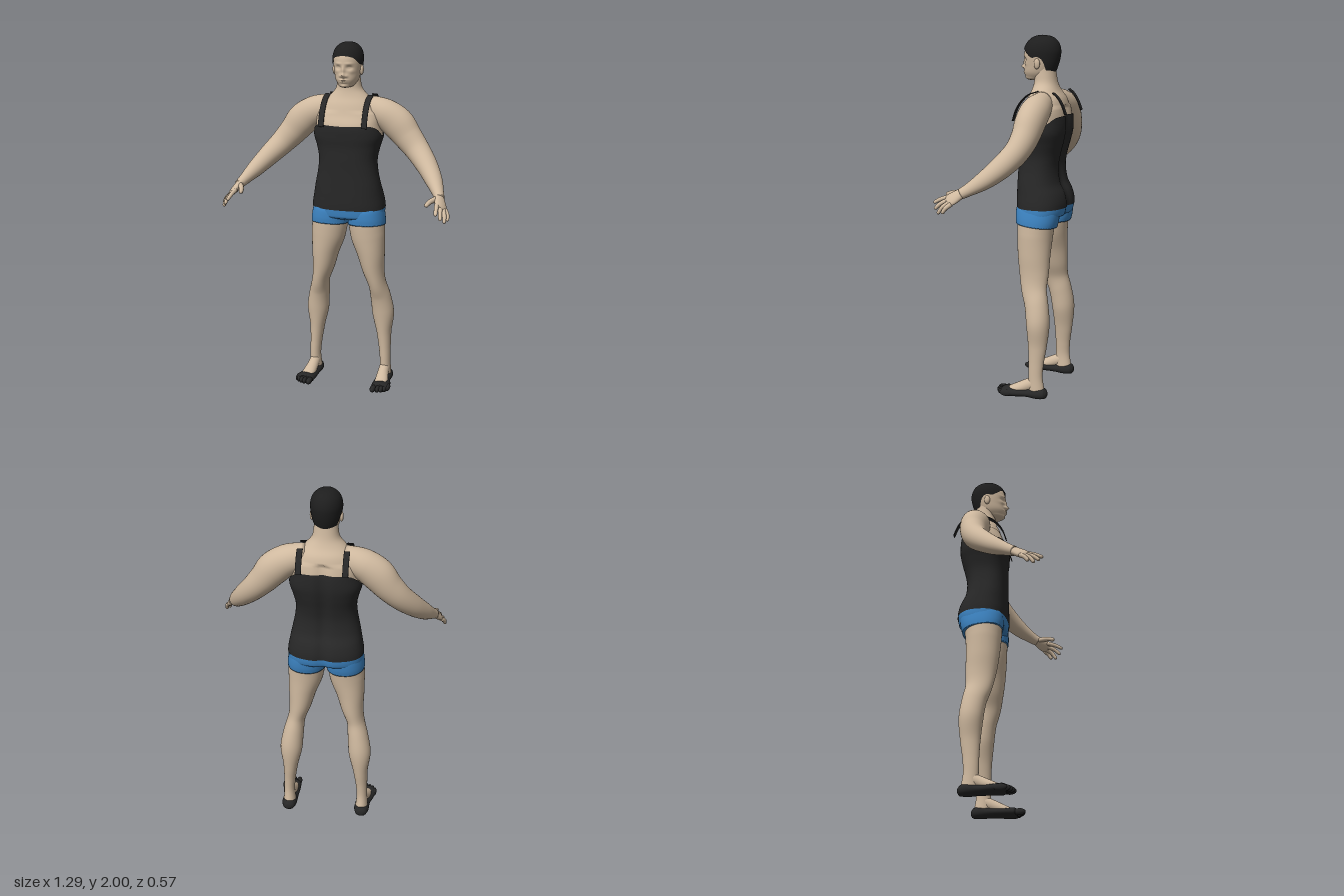
import * as THREE from 'three';

const V = (x, y, z) => new THREE.Vector3(x, y, z);
const material = (name, color) => {
  const m = new THREE.MeshStandardMaterial({ color, side: THREE.DoubleSide });
  m.name = name;
  return m;
};

// smooth interpolation of rows [key, value, value...] sorted by key
function track(rows) {
  const slope = (i, c) => {
    const a = rows[Math.max(i - 1, 0)], b = rows[Math.min(i + 1, rows.length - 1)];
    return (b[c] - a[c]) / (b[0] - a[0]);
  };
  return (k) => {
    let i = 0;
    while (i < rows.length - 2 && k > rows[i + 1][0]) i++;
    const a = rows[i], b = rows[i + 1], h = b[0] - a[0];
    const t = THREE.MathUtils.clamp((k - a[0]) / h, 0, 1), t2 = t * t, t3 = t2 * t;
    return a.slice(1).map((p, j) => (2 * t3 - 3 * t2 + 1) * p + (t3 - 2 * t2 + t) * h * slope(i, j + 1)
      + (3 * t2 - 2 * t3) * b[j + 1] + (t3 - t2) * h * slope(i + 1, j + 1));
  };
}

// skin a grid of points that is closed around u
function surface(fn, nu, nv) {
  const pos = [], idx = [];
  for (let j = 0; j <= nv; j++) for (let i = 0; i < nu; i++) pos.push(...fn(i / nu * Math.PI * 2, j / nv, j).toArray());
  for (let j = 0; j < nv; j++) for (let i = 0; i < nu; i++) {
    const k = (i + 1) % nu, a = j * nu + i, b = j * nu + k, c = b + nu, d = a + nu;
    idx.push(a, b, d, b, c, d);
  }
  const g = new THREE.BufferGeometry();
  g.setAttribute('position', new THREE.Float32BufferAttribute(pos, 3));
  g.setIndex(idx);
  g.computeVertexNormals();
  return g;
}

const pow = (c, p) => Math.sign(c) * Math.abs(c) ** (2 / p);

// tube through rings [x, y, z, radius along ref, radius across], with closed ends
function loft(rings, ref, { n = 32, steps = 6, p = 2, floor = -1 } = {}) {
  const path = new THREE.CatmullRomCurve3(rings.map((r) => V(r[0], r[1], r[2])));
  const size = new THREE.CatmullRomCurve3(rings.map((r) => V(r[3], r[4], 0)));
  const rows = (rings.length - 1) * steps;
  return surface((a, v, j) => {
    const t = THREE.MathUtils.clamp((j - 1) / rows, 0, 1), end = j === 0 || j === rows + 2 ? 0 : 1;
    const tan = path.getTangent(t), s = size.getPoint(t);
    const e1 = ref.clone().addScaledVector(tan, -ref.dot(tan)).normalize();
    const e2 = tan.clone().cross(e1);
    const q = path.getPoint(t).addScaledVector(e1, pow(Math.cos(a), p) * s.x * end)
      .addScaledVector(e2, pow(Math.sin(a), p) * s.y * end);
    q.y = Math.max(q.y, floor);
    return q;
  }, n, rows + 2);
}

function ball(x, y, z, rx, ry, rz) {
  return new THREE.SphereGeometry(1, 24, 16).scale(rx, ry, rz).translate(x, y, z);
}

function mirrored(geo) {
  const g = geo.clone().scale(-1, 1, 1), ix = g.index.array;
  for (let i = 0; i < ix.length; i += 3) [ix[i], ix[i + 1]] = [ix[i + 1], ix[i]];
  return g;
}

// trunk: height, half width, front z, back z
const trunkRows = track([
  [0.98, 0.19, -0.01, -0.22], [1.02, 0.203, 0.005, -0.25], [1.08, 0.203, 0.012, -0.26], [1.14, 0.193, 0.012, -0.248],
  [1.2, 0.181, 0.01, -0.22], [1.28, 0.165, 0.008, -0.21], [1.35, 0.16, 0.008, -0.22], [1.42, 0.174, 0.008, -0.238],
  [1.48, 0.191, 0.014, -0.25], [1.545, 0.184, 0.014, -0.252], [1.6, 0.18, -0.01, -0.244], [1.66, 0.148, -0.03, -0.228],
  [1.7, 0.11, -0.048, -0.203], [1.74, 0.076, -0.058, -0.187], [1.79, 0.065, -0.06, -0.178], [1.85, 0.06, -0.07, -0.172]]);
function trunk(y, a, grow = 0) {
  const [rx, zf, zb] = trunkRows(y), p = y > 1.62 ? 2.1 : 2.5;
  const x = pow(Math.sin(a), p) * (rx + grow), c = Math.cos(a);
  let z = (zf + zb) / 2 + pow(c, p) * ((zf - zb) / 2 + grow);
  if (c < 0 && y < 1.62) z += 0.016 * Math.exp(-((x / 0.03) ** 2)); // spine groove
  return V(x, y, z);
}

// head: height, half width, front z, back z
const headRows = track([
  [1.752, 0.001, -0.04, -0.08], [1.758, 0.032, -0.014, -0.11], [1.775, 0.05, -0.005, -0.15], [1.8, 0.064, 0.001, -0.168],
  [1.84, 0.073, -0.001, -0.184], [1.88, 0.078, 0.002, -0.194], [1.92, 0.079, -0.002, -0.197], [1.955, 0.069, -0.02, -0.186],
  [1.978, 0.047, -0.047, -0.162], [1.988, 0.026, -0.072, -0.135], [1.992, 0, -0.1, -0.1]]);
// nose, eye hollows, brows, lips, chin: x, y, depth, spread x, spread y
const features = [[0, 1.826, 0.021, 0.012, 0.011], [0, 1.85, 0.012, 0.009, 0.022], [0.018, 1.822, 0.007, 0.008, 0.008],
  [0.031, 1.867, -0.011, 0.016, 0.01], [0.031, 1.866, 0.004, 0.009, 0.005], [0.03, 1.889, 0.004, 0.022, 0.007],
  [0, 1.8, 0.011, 0.02, 0.0045], [0, 1.789, 0.01, 0.017, 0.005], [0, 1.767, 0.006, 0.018, 0.008], [0.045, 1.845, 0.004, 0.015, 0.012]];
function head(y, a, grow = 1, face = true) {
  const [rx, zf, zb] = headRows(y), c = Math.cos(a);
  const q = V(Math.sin(a) * Math.max(rx, 0) * grow, y, (zf + zb) / 2 + c * (zf - zb) / 2 * grow);
  if (face && c > 0) for (const [x, fy, d, sx, sy] of features)
    q.z += d * Math.exp(-(((Math.abs(q.x) - x) / sx) ** 2) - ((y - fy) / sy) ** 2);
  return q;
}

export function createModel() {
  const model = new THREE.Group();
  const skin = material('skin', 0xcfb99f), black = material('black cloth', 0x272727);
  const blue = material('blue cloth', 0x3d85c4), hair = material('dark hair', 0x1e1e1e);
  const add = (name, geo, mat) => {
    const m = new THREE.Mesh(geo, mat);
    m.name = name;
    model.add(m);
  };
  const pair = (name, geo, mat) => {
    add('left ' + name, geo, mat);
    add('right ' + name, mirrored(geo), mat);
  };
  const degrees = (a) => 180 - Math.abs(180 - a * 180 / Math.PI);
  const lerp = THREE.MathUtils.lerp;

  // trunk and clothes
  add('chest and neck', surface((a, v) => trunk(lerp(1.4, 1.85, v), a), 72, 44), skin);
  const neckline = track([[0, 1.545], [45, 1.546], [65, 1.53], [90, 1.485], [115, 1.53], [140, 1.565], [180, 1.572]]);
  add('top', surface((a, v) => trunk(lerp(1.065, neckline(degrees(a))[0], v), a, 0.006), 96, 48), black);
  add('shorts', surface((a, v) => {
    const q = trunk(lerp(0.985, 1.085, v), a, 0.003), s = Math.min(1, Math.sqrt(v * 3));
    return V(q.x * s, q.y, -0.11 + (q.z + 0.11) * s);
  }, 72, 16), blue);
  pair('shorts leg', loft([[0.109, 0.967, -0.112, 0.114, 0.107], [0.108, 1.0, -0.115, 0.12, 0.106],
    [0.105, 1.04, -0.118, 0.122, 0.102], [0.1, 1.075, -0.12, 0.115, 0.095]], V(0, 0, 1), { p: 2.2, n: 40 }), blue);

  // shoulder straps, rising free of the body in front and behind
  const strap = (pts) => loft(pts.map(([y, z]) => [0.124, y, z, 0.016, 0.003]), V(1, 0, 0), { p: 6, n: 24 });
  pair('front strap', strap([[1.54, 0.022], [1.6, 0.002], [1.65, -0.03], [1.685, -0.07], [1.703, -0.12]]), black);
  pair('back strap', strap([[1.7, -0.21], [1.68, -0.235], [1.64, -0.262], [1.585, -0.284]]), black);

  // head
  add('head', surface((a, v) => head(lerp(1.752, 1.992, v), a), 112, 72), skin);
  const hairline = track([[0, 1.932], [35, 1.922], [55, 1.9], [75, 1.88], [92, 1.885], [108, 1.868], [128, 1.812], [180, 1.787]]);
  add('hair', surface((a, v) => {
    const q = head(lerp(hairline(degrees(a))[0], 1.992, Math.sin(v * Math.PI / 2)), a, 1.075, false);
    q.y += 0.008 * THREE.MathUtils.smoothstep(q.y, 1.92, 1.99);
    return q;
  }, 72, 28), hair);
  pair('ear', ball(0.078, 1.848, -0.098, 0.011, 0.029, 0.017), skin);

  // arms and hands
  pair('arm', loft([[0.09, 1.635, -0.14, 0.06, 0.07], [0.2, 1.603, -0.14, 0.08, 0.085], [0.275, 1.552, -0.14, 0.08, 0.092],
    [0.335, 1.482, -0.135, 0.073, 0.081], [0.395, 1.415, -0.115, 0.066, 0.07], [0.46, 1.345, -0.062, 0.062, 0.06],
    [0.52, 1.275, 0.015, 0.05, 0.047], [0.56, 1.225, 0.09, 0.034, 0.031], [0.576, 1.205, 0.125, 0.029, 0.026]], V(0, 0, 1)), skin);
  const across = V(-0.037, 0.033, 0.03).normalize();
  pair('palm', loft([[0.565, 1.218, 0.105, 0.026, 0.024], [0.578, 1.2, 0.135, 0.034, 0.021], [0.59, 1.18, 0.165, 0.04, 0.019],
    [0.597, 1.168, 0.186, 0.037, 0.015], [0.6, 1.163, 0.196, 0.026, 0.008]], across, { n: 24 }), skin);
  const digits = {
    thumb: [V(0.563, 1.207, 0.14), V(0.537, 1.2, 0.188), V(0.522, 1.186, 0.234)],
    'index finger': [V(0.574, 1.187, 0.185), V(0.58, 1.172, 0.235), V(0.586, 1.15, 0.278)],
    'middle finger': [V(0.59, 1.173, 0.183), V(0.601, 1.152, 0.228), V(0.609, 1.121, 0.262)],
    'ring finger': [V(0.604, 1.162, 0.175), V(0.62, 1.137, 0.21), V(0.626, 1.1, 0.236)],
    'little finger': [V(0.614, 1.156, 0.162), V(0.631, 1.135, 0.186), V(0.637, 1.106, 0.206)],
  };
  for (const [name, [a, b, c]] of Object.entries(digits)) {
    const r = name === 'thumb' ? 0.014 : 0.0115;
    const ring = (p, k) => [...p.toArray(), r * k, r * k];
    pair(name, loft([ring(a, 1.15), ring(b, 1), ring(b.clone().lerp(c, 0.85), 0.8), ring(c, 0.25)], across, { n: 14, steps: 4 }), skin);
  }

  // legs
  pair('leg', loft([[0.216, 0.035, -0.155, 0.048, 0.036], [0.217, 0.12, -0.15, 0.041, 0.031], [0.213, 0.2, -0.152, 0.044, 0.034],
    [0.206, 0.3, -0.157, 0.054, 0.043], [0.199, 0.43, -0.156, 0.066, 0.064], [0.186, 0.53, -0.142, 0.067, 0.058],
    [0.171, 0.61, -0.122, 0.073, 0.05], [0.15, 0.7, -0.114, 0.084, 0.063], [0.136, 0.8, -0.108, 0.092, 0.08],
    [0.118, 0.9, -0.106, 0.099, 0.099], [0.109, 0.98, -0.108, 0.104, 0.103], [0.106, 1.04, -0.11, 0.1, 0.095]], V(0, 0, 1), { n: 40 }), skin);

  // feet: bare instep over a low toed shoe
  pair('instep', loft([[0.216, 0.085, -0.15, 0.035, 0.03], [0.217, 0.063, -0.1, 0.034, 0.032],
    [0.222, 0.042, -0.05, 0.031, 0.037], [0.227, 0.032, 0, 0.018, 0.034]], V(0, 1, 0)), skin);
  pair('shoe', loft([[0.217, 0.025, -0.218, 0.012, 0.014], [0.217, 0.024, -0.205, 0.029, 0.033], [0.217, 0.024, -0.17, 0.036, 0.043],
    [0.218, 0.022, -0.1, 0.026, 0.043], [0.226, 0.021, -0.03, 0.028, 0.052], [0.23, 0.021, 0.015, 0.03, 0.054],
    [0.229, 0.02, 0.04, 0.022, 0.043]], V(0, 1, 0), { floor: 0 }), black);
  for (let i = 0; i < 5; i++) {
    const r = i === 0 ? 0.017 : 0.013;
    pair('shoe toe ' + (i + 1), ball([0.195, 0.222, 0.242, 0.26, 0.274][i], 0.02, [0.05, 0.046, 0.038, 0.026, 0.01][i], r, 0.019, 0.035), black);
  }
  return model;
}
